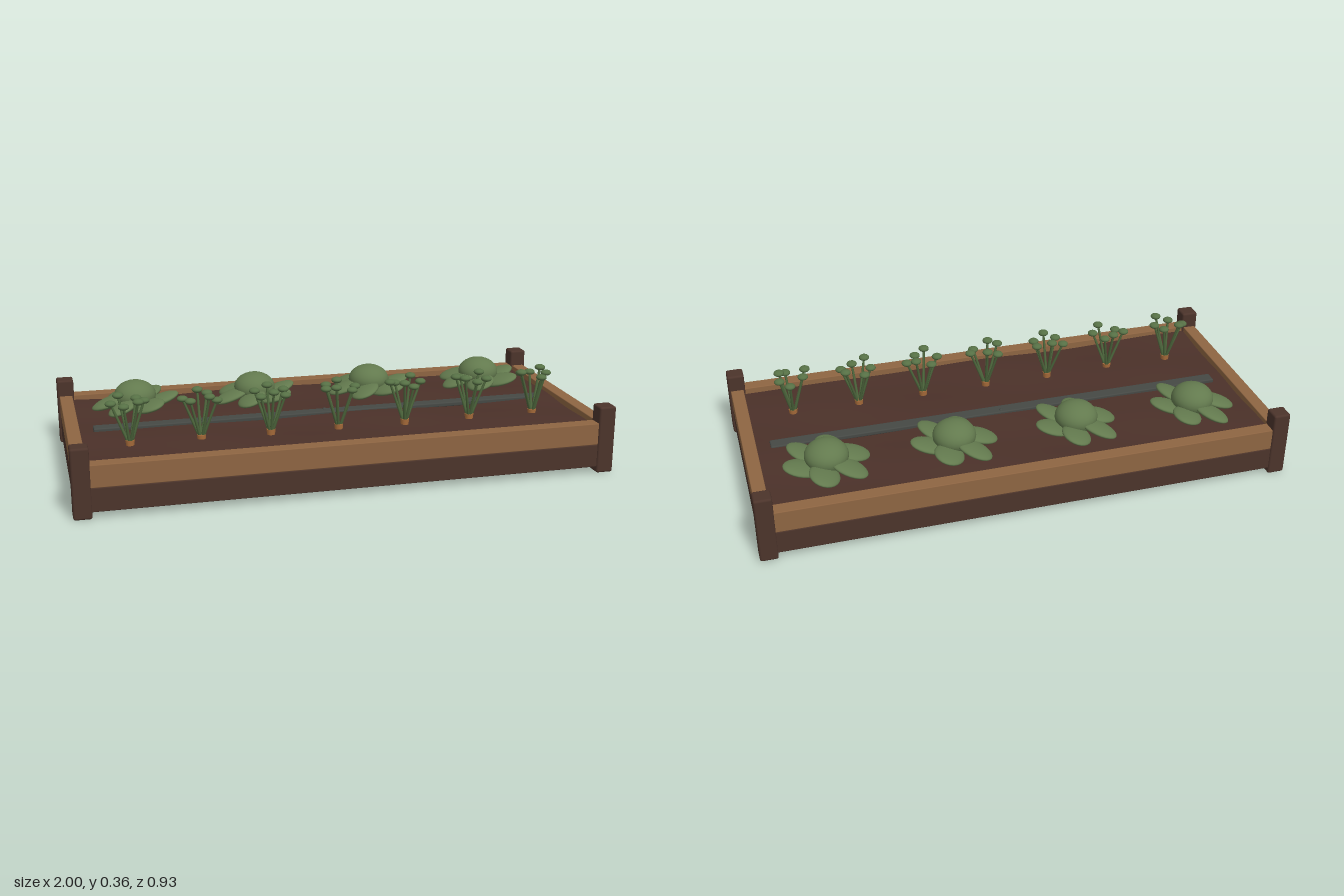
import * as THREE from 'three';
import { RoundedBoxGeometry } from 'three/addons/geometries/RoundedBoxGeometry.js';

const mat = (name, color) => {
  const m = new THREE.MeshStandardMaterial({ color });
  m.name = name;
  return m;
};

export function createModel() {
  const bed = new THREE.Group();
  bed.name = 'raisedGardenBed';
  const lightWood = mat('light wood', 0x8e6542);
  const darkWood = mat('dark wood', 0x4c342b);
  const soilBrown = mat('soil brown', 0x4b3129);
  const leafGreen = mat('leaf green', 0x637a4e);
  const topsGreen = mat('carrot top green', 0x567045);
  const stemGreen = mat('stem green', 0x4d663c);
  const hoseGrey = mat('hose grey', 0x454844);
  const rootOrange = mat('root orange', 0xa86c3a);

  const add = (parent, name, geometry, material, x = 0, y = 0, z = 0) => {
    const mesh = new THREE.Mesh(geometry, material);
    mesh.name = name;
    mesh.position.set(x, y, z);
    parent.add(mesh);
    return mesh;
  };

  // Corner posts
  const post = new RoundedBoxGeometry(0.065, 0.257, 0.065, 2, 0.008);
  for (const sx of [-1, 1]) for (const sz of [-1, 1])
    add(bed, 'cornerPost', post, darkWood, sx * 0.9675, 0.1285, sz * 0.431);

  // Two courses of boards on every side
  const courses = [
    ['lowerBoard', darkWood, 0.067, 0.087],
    ['upperBoard', lightWood, 0.152, 0.083],
  ];
  for (const [name, material, y, h] of courses) {
    const long = new RoundedBoxGeometry(1.9, h, 0.053, 1, 0.003);
    const short = new RoundedBoxGeometry(0.05, h, 0.83, 1, 0.003);
    for (const s of [-1, 1]) {
      add(bed, name, long, material, 0, y, s * 0.431);
      add(bed, name, short, material, s * 0.967, y, 0);
    }
  }

  // Soil, uneven above and below, with its underside inside the frame
  const soil = new THREE.BoxGeometry(1.89, 0.112, 0.815, 48, 1, 22);
  const p = soil.attributes.position;
  for (let i = 0; i < p.count; i++) {
    const x = p.getX(i), z = p.getZ(i);
    const wave = 0.003 * Math.sin(x * 9 + z * 5) + 0.003 * Math.cos(z * 17 - x * 6);
    p.setY(i, p.getY(i) + wave);
  }
  soil.computeVertexNormals();
  add(bed, 'soil', soil, soilBrown, 0, 0.115, 0);

  // Flat drip hose down the middle with a small joint
  add(bed, 'dripHose', new RoundedBoxGeometry(1.78, 0.018, 0.05, 2, 0.005), hoseGrey, 0, 0.173, -0.002);
  add(bed, 'hoseJoint', new THREE.SphereGeometry(0.008, 10, 8), hoseGrey, 0, 0.18, -0.012);

  // Cabbages: a round head over a ring of leaves that all lean the same way
  const ball = new THREE.SphereGeometry(1, 24, 16);
  const turns = [-0.06, 0.22, 0.09, 0.28];
  turns.forEach((turn, c) => {
    const cabbage = new THREE.Group();
    cabbage.name = 'cabbage';
    cabbage.position.set(-0.71 + c * 0.4735, 0, -0.213);
    bed.add(cabbage);
    add(cabbage, 'cabbageHead', ball, leafGreen, 0, 0.234, 0).scale.set(0.081, 0.059, 0.081);
    for (let i = 0; i < 6; i++) {
      const a = turn + i * Math.PI / 3;
      const lean = new THREE.Group();
      lean.name = 'cabbageLeaf';
      lean.position.set(0.096 * Math.cos(a), 0.21, -0.096 * Math.sin(a));
      lean.rotation.z = 0.33;
      cabbage.add(lean);
      const blade = add(lean, 'leafBlade', ball, leafGreen);
      blade.scale.set(0.076, 0.017, 0.057);
      blade.rotation.y = a;
    }
  });

  // Carrots: a crown in the soil and a spray of stems with flat tufts
  const up = new THREE.Vector3(0, 1, 0);
  const crown = new THREE.CylinderGeometry(0.017, 0.014, 0.035, 12);
  for (let c = 0; c < 7; c++) {
    const carrot = new THREE.Group();
    carrot.name = 'carrot';
    carrot.position.set((c - 3) * 0.258, 0, 0.206);
    bed.add(carrot);
    add(carrot, 'carrotCrown', crown, rootOrange, 0, 0.173, 0);
    for (let i = 0; i < 6; i++) {
      const a = c * 1.3 + i * Math.PI / 3 + 0.2 * Math.sin(c * 5 + i * 3);
      const r = 0.056 + 0.009 * Math.sin(c * 3 + i * 2.4);
      const base = new THREE.Vector3(0.005 * Math.cos(a), 0.178, 0.005 * Math.sin(a));
      const tip = new THREE.Vector3(r * Math.cos(a), 0.334 + 0.012 * Math.sin(c * 2 + i * 1.9), r * Math.sin(a));
      const dir = tip.clone().sub(base);
      const stem = add(carrot, 'carrotStem', new THREE.CylinderGeometry(0.0045, 0.006, dir.length(), 7), stemGreen);
      stem.position.copy(base).add(tip).multiplyScalar(0.5);
      stem.quaternion.setFromUnitVectors(up, dir.normalize());
      add(carrot, 'carrotTuft', ball, topsGreen, tip.x, tip.y, tip.z).scale.set(0.02, 0.0115, 0.02);
    }
  }
  return bed;
}
